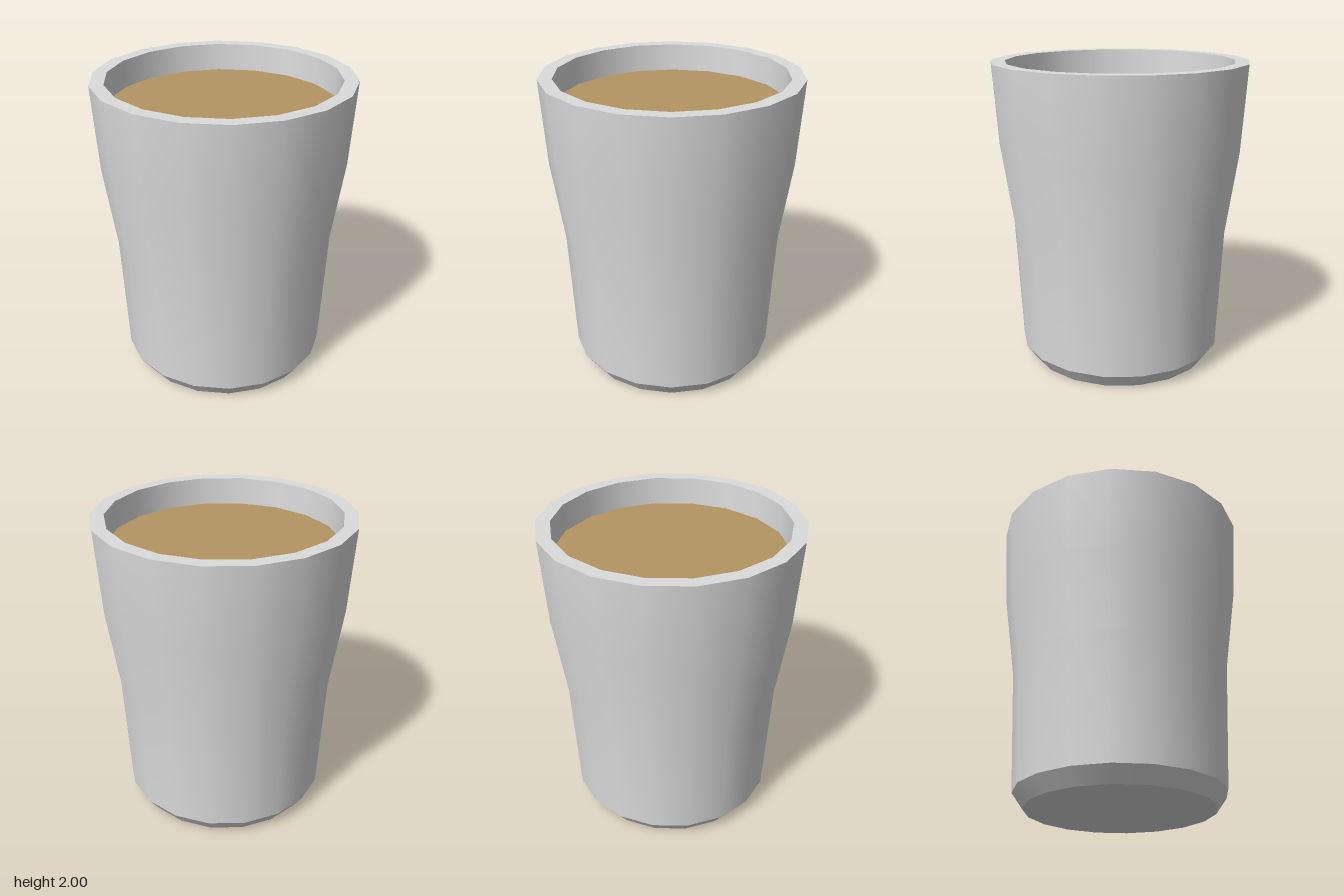
import * as THREE from 'three';

const SIDES = 18;

export function createModel() {
  const ceramic = new THREE.MeshStandardMaterial({ color: 0xdcdcdc });
  ceramic.name = 'pale grey ceramic';
  const coffee = new THREE.MeshStandardMaterial({ color: 0xb59562 });
  coffee.name = 'milky coffee';

  const cup = new THREE.Group();
  cup.name = 'cup';

  // Each band is turned separately, so edges between bands stay sharp
  const addBand = (name, material, profile) => {
    const points = profile.map(([r, y]) => new THREE.Vector2(r, y));
    const mesh = new THREE.Mesh(new THREE.LatheGeometry(points, SIDES, Math.PI / 2), material);
    mesh.name = name;
    cup.add(mesh);
  };

  addBand('base', ceramic, [[0, 0], [0.61, 0]]);
  addBand('baseChamfer', ceramic, [[0.61, 0], [0.68, 0.1]]);
  addBand('outerWall', ceramic, [[0.68, 0.1], [0.718, 0.91], [0.795, 1.45], [0.83, 2]]);
  addBand('rim', ceramic, [[0.83, 2], [0.74, 2]]);
  addBand('innerWall', ceramic, [[0.74, 2], [0.735, 1.82]]);
  // Drink surface closes the inside
  addBand('drink', coffee, [[0.735, 1.82], [0, 1.82]]);

  return cup;
}
